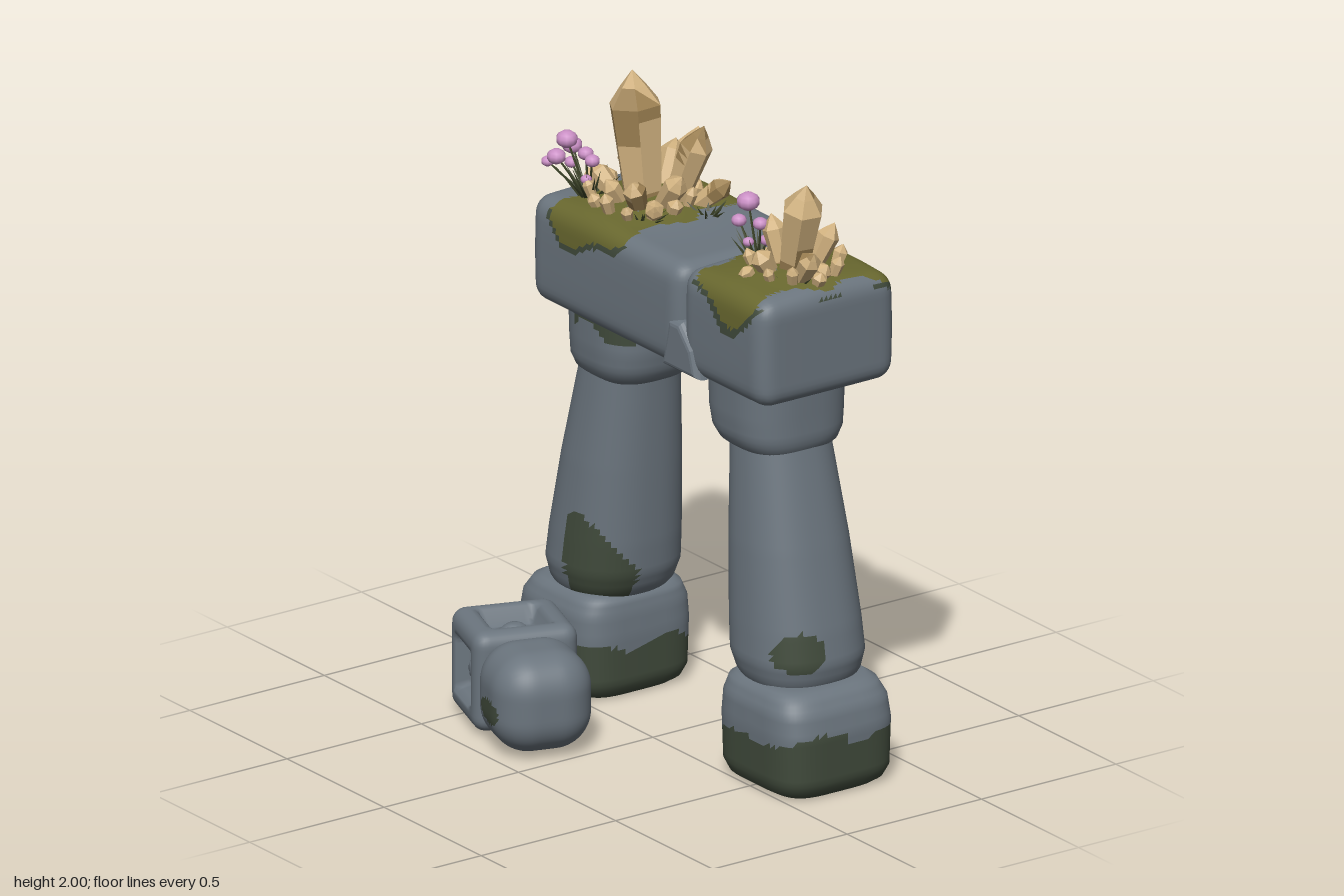
import * as THREE from 'three';
import { mergeVertices } from 'three/addons/utils/BufferGeometryUtils.js';

const mat = (name, color, extra = {}) => {
  const m = new THREE.MeshStandardMaterial({ color, ...extra });
  m.name = name;
  return m;
};

// seeded random and smooth patch noise in about -1..1
let seed = 7;
const rnd = () => ((seed = (seed * 16807) % 2147483647) / 2147483647);
const noise = (x, y, z) =>
  (Math.sin(17 * x + 5 * z + 1) + Math.sin(19 * y - 9 * x + 2) + Math.sin(23 * z + 8 * y + 14 * x)) / 3;

// sorts triangles into material groups by a rule on their centres
function paint(geo, rule) {
  const p = geo.attributes.position, idx = geo.index.array, buckets = [[], [], []];
  for (let i = 0; i < idx.length; i += 3) {
    const t = [idx[i], idx[i + 1], idx[i + 2]];
    const mid = ['getX', 'getY', 'getZ'].map(g => t.reduce((s, k) => s + p[g](k), 0) / 3);
    buckets[rule(...mid)].push(...t);
  }
  geo.clearGroups();
  let start = 0;
  buckets.forEach((b, i) => { if (b.length) geo.addGroup(start, b.length, i); start += b.length; });
  geo.setIndex(buckets.flat());
  return geo;
}

// rounded, finely divided block, with an optional extra deformation
function block(w, h, d, r, step, deform) {
  let g = new THREE.BoxGeometry(w, h, d, ...[w, h, d].map(s => Math.ceil(s / step)));
  g.deleteAttribute('normal'); g.deleteAttribute('uv'); g.clearGroups();
  g = mergeVertices(g);
  const p = g.attributes.position, half = new THREE.Vector3(w / 2, h / 2, d / 2);
  const lim = half.clone().subScalar(r), q = new THREE.Vector3(), inner = new THREE.Vector3();
  for (let i = 0; i < p.count; i++) {
    q.fromBufferAttribute(p, i);
    inner.copy(q).clamp(lim.clone().negate(), lim);
    const out = q.clone().sub(inner).normalize().multiplyScalar(r).add(inner);
    if (deform) deform(out, q, half);
    p.setXYZ(i, out.x, out.y, out.z);
  }
  g.computeVertexNormals();
  return g;
}

// loft of squared circles; rows are [y, centre x, half width, half depth]
function loft(rows, power, cz) {
  const N = 56, pos = [], index = [], fine = [rows[0]];
  for (let i = 1; i < rows.length; i++) {
    const a = rows[i - 1], b = rows[i], n = Math.max(1, Math.ceil(Math.abs(b[0] - a[0]) / 0.02));
    for (let k = 1; k <= n; k++) fine.push(a.map((v, j) => v + (b[j] - v) * k / n));
  }
  const pw = v => Math.sign(v) * Math.abs(v) ** (2 / power);
  fine.forEach(([y, cx, hx, hz], r) => {
    for (let j = 0; j < N; j++) {
      const a = j / N * Math.PI * 2;
      pos.push(cx + hx * pw(Math.cos(a)), y, cz + hz * pw(Math.sin(a)));
      if (!r) continue;
      const k = (j + 1) % N, A = (r - 1) * N + j, B = (r - 1) * N + k, C = r * N + j, D = r * N + k;
      index.push(A, C, B, B, C, D);
    }
  });
  const g = new THREE.BufferGeometry();
  g.setAttribute('position', new THREE.Float32BufferAttribute(pos, 3));
  g.setIndex(index);
  g.computeVertexNormals();
  return g;
}

export function createModel() {
  seed = 7;
  const root = new THREE.Group();
  root.name = 'overgrownStoneArch';
  const stone = mat('stone', 0x6b757e), olive = mat('oliveMoss', 0x69682f), dark = mat('darkMoss', 0x414b3c);
  const crystalMat = mat('crystal', 0xd0b17f, { flatShading: true });
  const crystalDark = mat('crystalShade', 0x9c8052, { flatShading: true });
  const petal = mat('petal', 0xcb90c6), grass = mat('grass', 0x3b4227, { flatShading: true });
  const stonePaint = [stone, olive, dark];
  const add = (parent, name, geo, material) => {
    const m = new THREE.Mesh(geo, material);
    m.name = name;
    parent.add(m);
    return m;
  };

  // two leaning legs: foot, tapered column and capital
  for (const s of [-1, 1]) {
    const leg = new THREE.Group();
    leg.name = s > 0 ? 'leftLeg' : 'rightLeg';
    root.add(leg);
    const rows = list => list.map(([y, x, hx, hz]) => [y, s * x, hx, hz]);
    const foot = loft(rows([[0, .52, 0, 0], [0, .52, .175, .17], [.015, .52, .195, .195], [.05, .52, .212, .21],
      [.2, .52, .215, .215], [.27, .515, .205, .21], [.315, .505, .185, .19], [.335, .5, .15, .16], [.335, .5, 0, 0]]), 4.2, -.195);
    add(leg, 'foot', paint(foot, (x, y, z) => y < .17 + .05 * noise(x, 0, z) ? 2 : 0), stonePaint);
    const column = loft(rows([[.31, .485, .15, .16], [.345, .48, .175, .18], [.4, .475, .192, .194], [.5, .463, .189, .19],
      [.75, .43, .169, .175], [1, .395, .146, .152], [1.07, .385, .14, .145]]), 2.4, -.195);
    add(leg, 'column', paint(column, (x, y, z) => {
      const n = .3 * noise(x, y, z);
      const streak = s < 0 && z > -.15 && y < .6 && Math.hypot((x + .37 + (y - .45) * .1) / .1, (y - .4) / .17) + n < 1;
      const spot = s > 0 && x > .5 && Math.hypot((z + .1) / .06, (y - .44) / .055) + n < 1;
      return streak || spot ? 2 : 0;
    }), stonePaint);
    const capital = loft(rows([[1.035, .375, .135, .14], [1.055, .37, .16, .165], [1.09, .365, .175, .182],
      [1.15, .36, .181, .188], [1.25, .36, .184, .19]]), 2.8, -.2);
    add(leg, 'capital', paint(capital, (x, y, z) =>
      s < 0 && y > 1.205 + .04 * noise(x * 2, 0, z * 2) && z > -.2 && x > -.42 && x < -.2 ? 2 : 0), stonePaint);
  }

  // lintel blocks, swelling under the moss
  const lintel = new THREE.Group();
  lintel.name = 'lintel';
  root.add(lintel);
  for (const [name, x0, x1, cx, a, d] of [['longBlock', -.6, .19, -.31, .2, .525], ['shortBlock', .175, .605, .41, .165, .515]]) {
    const w = x1 - x0, mx = (x0 + x1) / 2;
    const g = block(w, .34, d, .055, .018, p => {
      const k = (p.x + mx - cx) / .17, m = p.z / .2;
      if (p.y > 0) p.y += .04 * Math.exp(-k * k - m * m) * p.y / .17;
      p.z *= 1 - .035 * Math.abs(p.y / .17) ** 3 - .03 * Math.abs(p.x / w) ** 2;
      p.x *= 1 - .02 * Math.abs(p.z / .26) ** 3;
    });
    g.translate(mx, 1.41, -.225);
    paint(g, (x, y, z) => {
      const e = Math.hypot((x - cx) / a, (z + .225) / .48) + .25 * noise(x * 1.3, y, z * 1.2) + Math.max(0, 1.56 - y) * 5;
      return e < 1 ? 1 : e < 1.12 && y < 1.56 ? 2 : 0;
    });
    add(lintel, name, g, stonePaint);
  }

  // broken chip in the joint
  const chip = new THREE.Shape([[.115, 1.262], [.255, 1.262], [.235, 1.325], [.18, 1.385], [.145, 1.385]]
    .map(p => new THREE.Vector2(...p)));
  add(lintel, 'jointChip', new THREE.ExtrudeGeometry(chip,
    { depth: .4, bevelThickness: .03, bevelSize: .022, bevelSegments: 4 }).translate(0, 0, -.39), stone);

  // fallen carved block: every face has a square recess with a knob
  const carved = add(root, 'carvedBlock', block(.29, .32, .33, .045, .013, (p, q, h) => {
    const c = ['x', 'y', 'z'].map(k => q[k] / h[k]);
    const ax = c.findIndex(v => Math.abs(v) > .999), key = 'xyz'[ax];
    const [u, v] = c.filter((_, i) => i !== ax).map(Math.abs);
    const inset = 1 - THREE.MathUtils.smoothstep(Math.max(u, v), .42, .6);
    const knob = 1 - THREE.MathUtils.smoothstep(Math.hypot(u, v), .1, .38);
    p[key] -= Math.sign(c[ax]) * (.055 * inset - .03 * knob);
  }), stone);
  carved.position.set(-.38, .17, .24);
  carved.rotation.y = -.34;

  // fallen boulder
  const boulder = block(.315, .315, .315, .12, .016).rotateY(-.3).translate(-.147, .168, .33);
  add(root, 'boulder', paint(boulder, (x, y, z) =>
    z > .3 && Math.hypot((x + .18) / .065, (y - .14) / .04) + .3 * noise(x, y, z) < 1 ? 2 : 0), stonePaint);

  // places a shape that grows along +y from a base towards a tip
  const up = new THREE.Vector3(0, 1, 0);
  function aim(mesh, base, tip) {
    const dir = new THREE.Vector3(...tip).sub(new THREE.Vector3(...base));
    mesh.position.set(...base);
    mesh.quaternion.setFromUnitVectors(up, dir.normalize());
  }
  const dist = (a, b) => Math.hypot(a[0] - b[0], a[1] - b[1], a[2] - b[2]);

  // six-sided pointed crystal with a few darker patches
  function crystal(parent, base, tip, r) {
    const h = dist(base, tip), prof = [];
    for (let i = 0; i <= 8; i++) prof.push(new THREE.Vector2(r * (.72 + .28 * i / 8), h * .74 * i / 8));
    prof.push(new THREE.Vector2(r * .5, h * .88), new THREE.Vector2(0, h));
    const g = new THREE.LatheGeometry(prof, 6, rnd() * 2);
    const o = rnd() * 6;
    paint(g, (x, y, z) => r > .03 && noise(x * 1.5 + o, y * 1.1, z * 1.5) > .28 ? 1 : 0);
    aim(add(parent, 'crystal', g, [crystalMat, crystalDark]), base, tip);
  }

  // crystal clusters: each entry is base x, z, tip x, y, z, radius
  const clusters = {
    largeCrystals: [[-.325, -.2, -.37, 2, -.19, .085], [-.25, -.26, -.165, 1.855, -.31, .052], [-.28, -.3, -.29, 1.8, -.38, .05],
      [-.38, -.27, -.54, 1.7, -.29, .05], [-.37, -.3, -.42, 1.72, -.39, .04], [-.24, -.2, -.14, 1.72, -.21, .038],
      [-.26, -.14, -.23, 1.7, -.09, .036], [-.4, -.16, -.5, 1.67, -.13, .036], [-.2, -.3, -.11, 1.68, -.37, .035],
      [-.33, -.13, -.34, 1.68, -.07, .03], [-.2, -.15, -.13, 1.65, -.1, .03]],
    smallCrystals: [[.43, -.21, .515, 1.9, -.2, .066], [.4, -.2, .345, 1.76, -.19, .038], [.5, -.18, .595, 1.71, -.17, .036],
      [.41, -.15, .41, 1.68, -.09, .035], [.45, -.26, .48, 1.74, -.33, .036], [.39, -.25, .35, 1.67, -.28, .03],
      [.52, -.22, .57, 1.65, -.24, .028]],
  };
  for (const [name, list] of Object.entries(clusters)) {
    const group = new THREE.Group();
    group.name = name;
    root.add(group);
    for (const [bx, bz, tx, ty, tz, r] of list) crystal(group, [bx, 1.585, bz], [tx, ty, tz], r);
    const [cx, cz] = list[0], n = list.length;
    for (let i = 0; i < n + 3; i++) {
      const a = i / (n + 3) * Math.PI * 2, R = (n > 8 ? .14 : .1) + .03 * rnd();
      const x = cx + R * Math.cos(a), z = cz + R * Math.sin(a);
      crystal(group, [x, 1.575, z], [x + .03 * Math.cos(a), 1.625 + .04 * rnd(), z + .03 * Math.sin(a)], .018 + .008 * rnd());
    }
  }

  // grass tufts
  const tuft = (name, x, z, count, reach, high) => {
    const group = new THREE.Group();
    group.name = name;
    root.add(group);
    for (let i = 0; i < count; i++) {
      const a = rnd() * Math.PI * 2, R = reach * (.35 + .65 * rnd());
      const base = [x + .15 * R * Math.cos(a), 1.57, z + .15 * R * Math.sin(a)];
      const tip = [x + R * Math.cos(a), 1.59 + high * (.4 + .6 * rnd()), z + R * Math.sin(a)];
      const h = dist(base, tip);
      aim(add(group, 'blade', new THREE.ConeGeometry(.009, h, 3).translate(0, h / 2, 0), grass), base, tip);
    }
  };
  tuft('rightTuft', -.46, -.1, 30, .11, .1);
  tuft('leftTuft', .28, -.19, 26, .09, .09);
  tuft('innerTuft', -.12, -.29, 12, .08, .04);
  tuft('frontTuft', -.2, -.1, 12, .09, .04);
  tuft('outerTuft', .5, -.16, 10, .09, .04);

  // flowers: round caps on thin stems
  const flowers = new THREE.Group();
  flowers.name = 'flowers';
  root.add(flowers);
  const blooms = [[-.54, 1.75, -.07, .034], [-.595, 1.7, -.13, .032], [-.545, 1.7, -.035, .03], [-.47, 1.72, -.09, .025],
    [-.43, 1.71, -.085, .024], [-.585, 1.65, -.12, .022], [-.57, 1.68, -.02, .02], [-.44, 1.65, -.07, .018],
    [.235, 1.765, -.185, .036], [.18, 1.685, -.19, .024], [.325, 1.725, -.165, .024], [.235, 1.67, -.27, .02],
    [.31, 1.66, -.2, .022], [.27, 1.65, -.16, .018]];
  for (const [x, y, z, r] of blooms) {
    const base = x < 0 ? [-.47, 1.57, -.1] : [.28, 1.57, -.19], tip = [x, y, z], h = dist(base, tip);
    aim(add(flowers, 'stem', new THREE.CylinderGeometry(.003, .005, h, 5).translate(0, h / 2, 0), grass), base, tip);
    add(flowers, 'bloom', new THREE.SphereGeometry(r, 10, 7).scale(1, .8, 1), petal).position.set(x, y, z);
  }
  return root;
}
